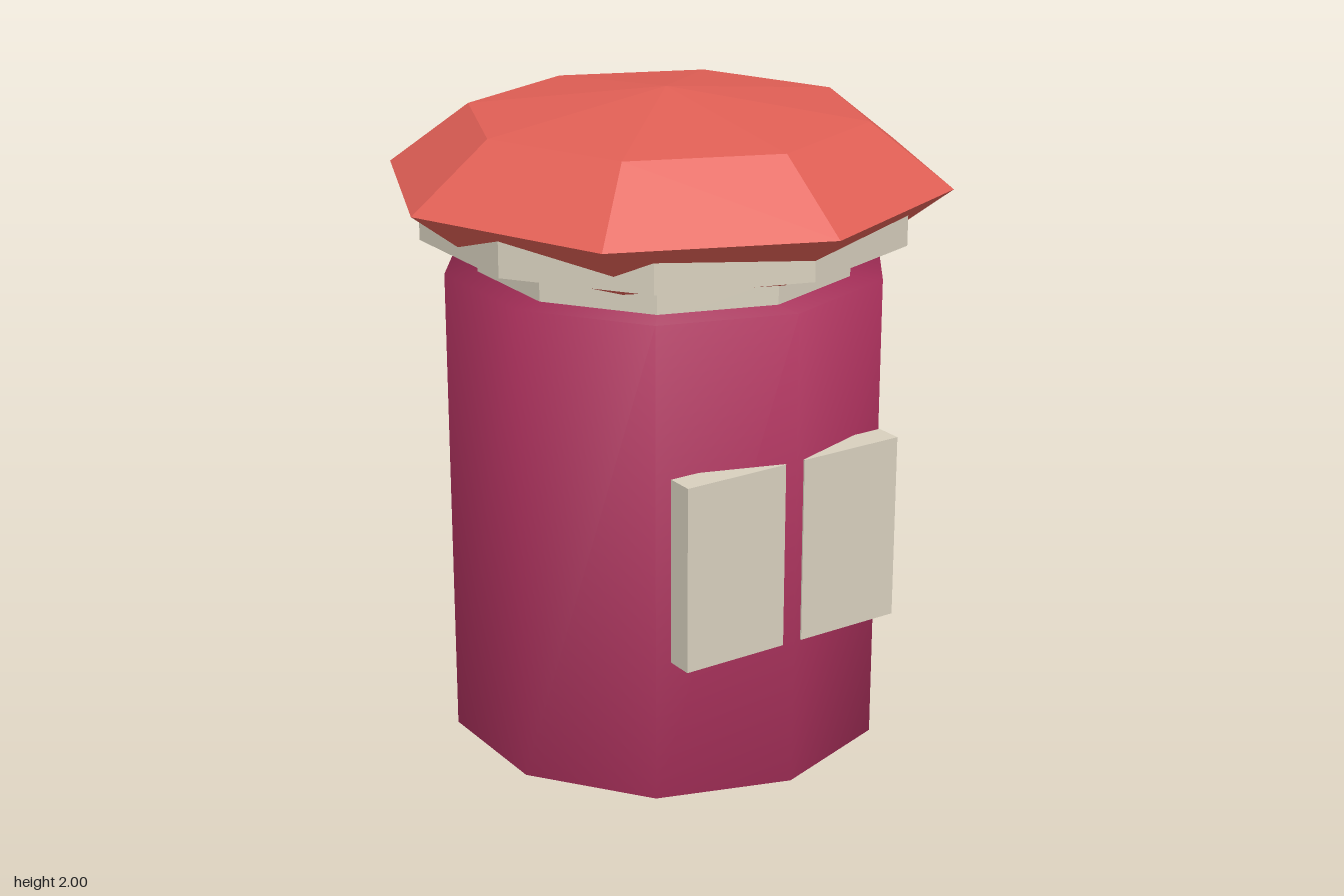
import * as THREE from 'three';
import { mergeVertices } from 'three/addons/utils/BufferGeometryUtils.js';

const material = (name, color) => {
  const m = new THREE.MeshStandardMaterial({ color });
  m.name = name;
  return m;
};

// Hard facets: every triangle gets its own normal
function faceted(geometry) {
  const g = geometry.toNonIndexed();
  g.computeVertexNormals();
  return g;
}

// Soft shading carried over the rims as well as round the sides
function welded(geometry) {
  geometry.deleteAttribute('normal');
  geometry.deleteAttribute('uv');
  const g = mergeVertices(geometry);
  g.computeVertexNormals();
  return g;
}

export function createModel() {
  const group = new THREE.Group();
  const magenta = material('magenta', 0xb23360);
  const coral = material('coral', 0xe05f55);
  const cream = material('cream', 0xd8d0be);

  const add = (name, geometry, mat, x, y, z) => {
    const mesh = new THREE.Mesh(geometry, mat);
    mesh.name = name;
    mesh.position.set(x, y, z);
    group.add(mesh);
  };

  // Ten-sided prism between two heights
  const prism = (radius, bottom, top) =>
    new THREE.CylinderGeometry(radius, radius, top - bottom, 10)
      .translate(0, (bottom + top) / 2, 0);

  // Body and the two collars under the roof
  add('body', welded(prism(0.68, 0, 1.475)), magenta, 0, 0, 0);
  add('lowerCollar', faceted(prism(0.58, 1.45, 1.55)), cream, 0, 0, 0);
  add('upperCollar', faceted(prism(0.75, 1.585, 1.7)), cream, 0, 0, 0);

  // Roof: a coarse, flattened ball
  const roof = new THREE.SphereGeometry(0.86, 8, 4).scale(1, 0.27 / 0.86, 1);
  add('roof', faceted(roof), coral, 0, 1.73, 0);

  // Pair of front panels
  for (const [name, side] of [['leftPanel', 1], ['rightPanel', -1]]) {
    add(name, new THREE.BoxGeometry(0.34, 0.57, 0.085), cream, side * 0.203, 0.74, 0.632);
  }

  return group;
}
